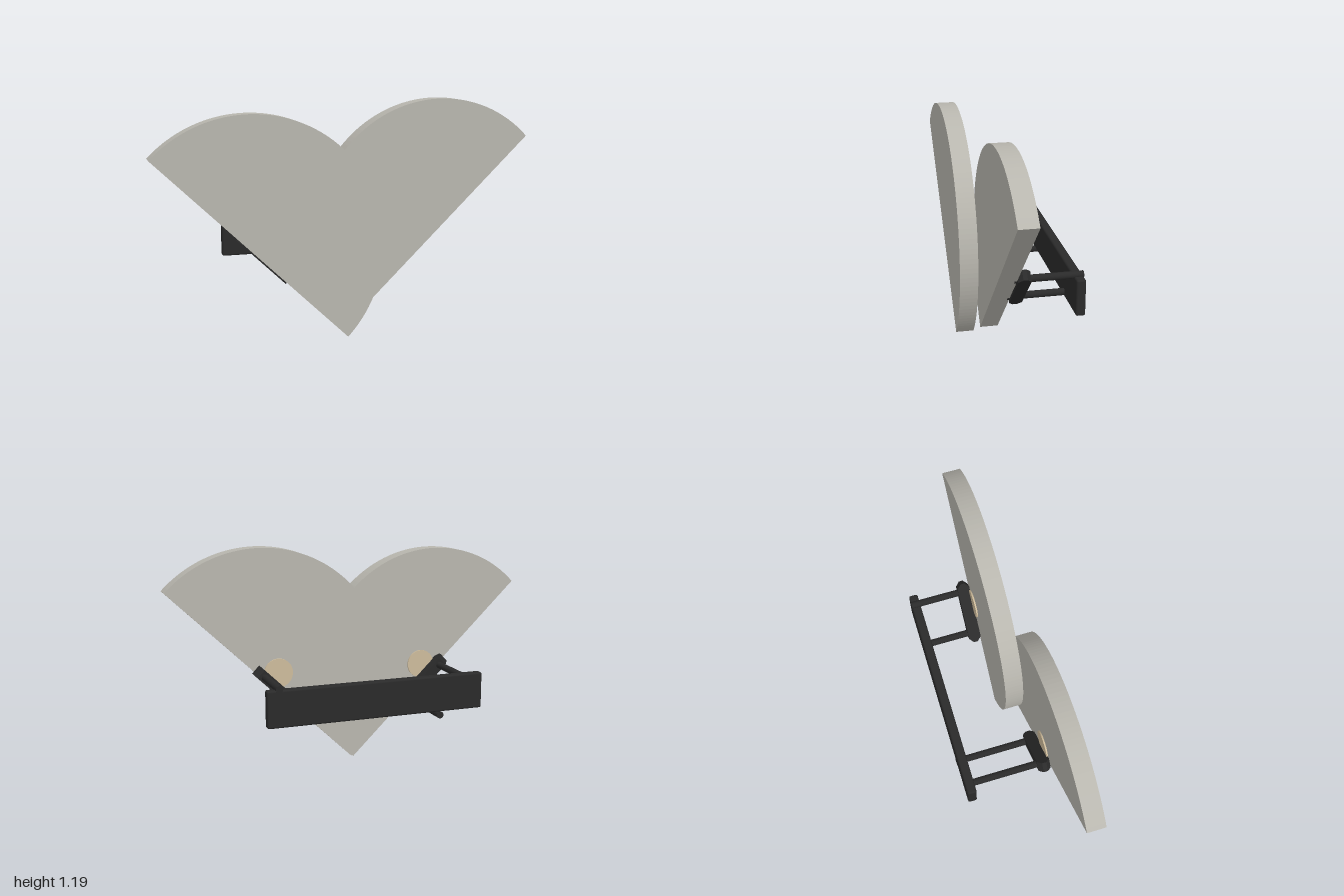
import * as THREE from 'three';
import { RoundedBoxGeometry } from 'three/addons/geometries/RoundedBoxGeometry.js';

const grey = new THREE.MeshStandardMaterial({ color: 0xb8b6ae });
grey.name = 'stoneGrey';
const black = new THREE.MeshStandardMaterial({ color: 0x2a2a2a });
black.name = 'matteBlack';
const tan = new THREE.MeshStandardMaterial({ color: 0xcdbb9b });
tan.name = 'tan';

const RADIUS = 0.675, THICK = 0.096, TILT = 0.768;
const BACK = -0.275;

function part(parent, name, geometry, material, x = 0, y = 0, z = 0) {
  const mesh = new THREE.Mesh(geometry, material);
  mesh.name = name;
  mesh.position.set(x, y, z);
  parent.add(mesh);
  return mesh;
}

// Half disc whose flat edge lies on local x, extruded along z
function halfDisc() {
  const s = new THREE.Shape();
  s.moveTo(RADIUS, 0);
  s.absarc(0, 0, RADIUS, 0, Math.PI, false);
  s.closePath();
  return new THREE.ExtrudeGeometry(s, { depth: THICK, bevelEnabled: false, curveSegments: 40 });
}

// Bar with chamfered ends: profile in length and depth, extruded across its width
function clampBar() {
  const width = 0.055;
  const s = new THREE.Shape([
    [-0.15, -0.033], [0.15, -0.033], [0.175, -0.011], [0.175, 0.011],
    [0.15, 0.033], [-0.15, 0.033], [-0.175, 0.011], [-0.175, -0.011],
  ].map(([x, y]) => new THREE.Vector2(x, y)));
  const g = new THREE.ExtrudeGeometry(s, { depth: width, bevelEnabled: false });
  g.translate(0, 0, -width / 2);
  g.rotateX(Math.PI / 2);
  return g;
}

// One half disc with its pad, clamp and pair of rods
function wing(name, side, discX, discY, discZ, clampY) {
  const g = new THREE.Group();
  g.name = name;
  const tilt = side * TILT;
  part(g, 'halfDisc', halfDisc(), grey, discX, discY, discZ).rotation.z = tilt;

  const clampX = side * 0.43;
  const pad = new THREE.CylinderGeometry(0.077, 0.077, 0.014, 32);
  pad.rotateX(Math.PI / 2);
  part(g, 'pad', pad, tan, clampX, clampY + 0.088, discZ - 0.001);

  part(g, 'clamp', clampBar(), black, clampX, clampY, discZ - 0.034).rotation.z = tilt;

  const front = discZ + 0.011;
  for (const end of [-1, 1]) {
    const rod = new THREE.CylinderGeometry(0.0185, 0.0185, front - BACK, 16);
    rod.rotateX(Math.PI / 2);
    part(g, end > 0 ? 'outerRod' : 'innerRod', rod, black,
      clampX + side * end * 0.088, clampY + end * 0.085, (front + BACK) / 2);
  }
  return g;
}

export function createModel() {
  const model = new THREE.Group();
  model.name = 'wingPair';
  model.add(wing('leftWing', 1, 0.514, 0.517, 0.056, 0.455));
  model.add(wing('rightWing', -1, -0.514, 0.47, 0.18, 0.412));
  // Crossbar joining both pairs of rods
  part(model, 'crossbar', new RoundedBoxGeometry(1.16, 0.19, 0.048, 2, 0.01), black,
    0, 0.44, BACK + 0.024);
  return model;
}
